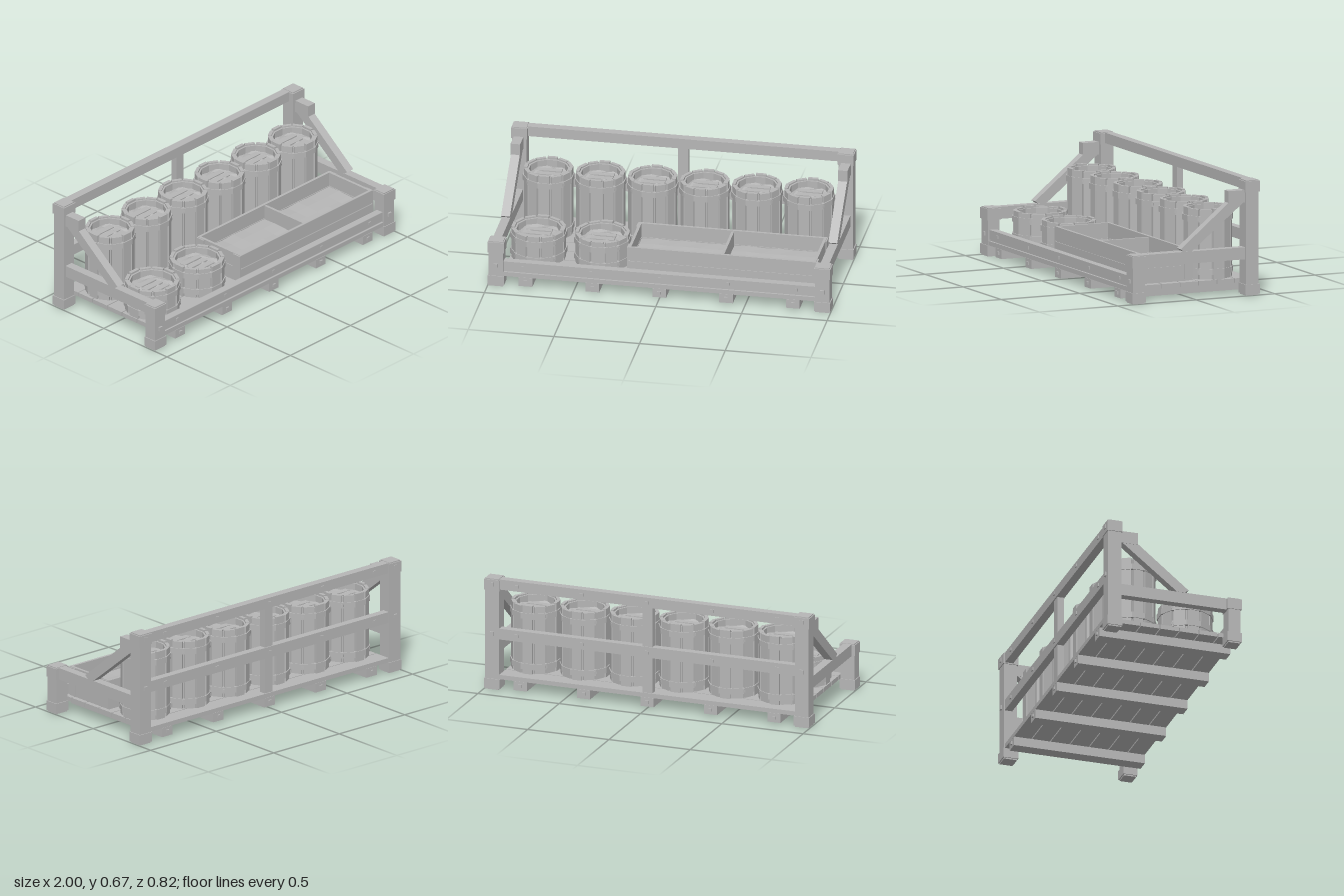
import * as THREE from 'three';

const wood = new THREE.MeshStandardMaterial({ color: 0xb6b6b6, flatShading: true });
wood.name = 'grey wood';

function add(parent, name, geo, x = 0, y = 0, z = 0) {
  const m = new THREE.Mesh(geo, wood);
  m.name = name;
  m.position.set(x, y, z);
  parent.add(m);
  return m;
}

// Box given by its limits on each axis
function box(parent, name, x0, x1, y0, y1, z0, z1) {
  return add(parent, name, new THREE.BoxGeometry(x1 - x0, y1 - y0, z1 - z0),
    (x0 + x1) / 2, (y0 + y1) / 2, (z0 + z1) / 2);
}

const lump = (x, z) => 0.009 * Math.sin(x * 53 + z * 31) * Math.cos(z * 47 - x * 19);

function lumpy(geo) {
  geo.rotateX(-Math.PI / 2);
  const p = geo.attributes.position;
  for (let i = 0; i < p.count; i++) p.setY(i, lump(p.getX(i), p.getZ(i)));
  return geo;
}

// Hollow ring, closed profile
function ring(rIn, rOut, y0, y1, sides) {
  const pts = [[rIn, y0], [rOut, y0], [rOut, y1], [rIn, y1], [rIn, y0]];
  const g = new THREE.LatheGeometry(pts.map(p => new THREE.Vector2(...p)), sides);
  return g.rotateY(Math.PI / sides);
}

function barrel(parent, name, x, z, r, h, bandYs) {
  const b = new THREE.Group();
  b.name = name;
  b.position.set(x, 0.09, z);
  parent.add(b);
  const n = 12;
  add(b, 'barrelWall', ring(r - 0.036, r - 0.018, 0, h - 0.012, n));
  for (let i = 0; i < n; i++) {
    const a = (i / n) * Math.PI * 2;
    const stave = add(b, 'stave', new THREE.BoxGeometry(r * 0.4, h - (i % 3 ? 0.008 : 0), 0.02),
      Math.sin(a) * (r - 0.02), h / 2, Math.cos(a) * (r - 0.02));
    stave.rotation.y = a;
  }
  for (const y of bandYs) {
    add(b, 'band', ring(r - 0.02, r, y, y + 0.034, n));
    for (let i = 0; i < 4; i++) {
      const a = (i + 0.5) * Math.PI / 2;
      const rivet = add(b, 'rivet', new THREE.BoxGeometry(0.014, 0.016, 0.012),
        Math.sin(a) * (r - 0.006), y + 0.017, Math.cos(a) * (r - 0.006));
      rivet.rotation.y = a;
    }
  }
  // lumpy contents
  const fill = lumpy(new THREE.RingGeometry(0.001, r - 0.03, 14, 4));
  add(b, 'barrelContents', fill, 0, h - 0.05, 0);
  for (const s of [-1, 0, 1])
    box(b, 'contentsSlat', -0.07, 0.07, h - 0.05, h - 0.043, s * 0.05 - 0.018, s * 0.05 + 0.018);
}

// Post with slightly thicker ends
function post(parent, name, s, z0, z1, h) {
  const g = new THREE.Group();
  g.name = name;
  parent.add(g);
  const part = (n, y0, y1, d) => {
    const a = s * (0.905 + d), b = s * (1 - d);
    box(g, n, Math.min(a, b), Math.max(a, b), y0, y1, z0 + d, z1 - d);
  };
  part('postShaft', 0.06, h - 0.06, 0.005);
  part('postFoot', 0.008, 0.065, 0);
  part('postSole', 0, 0.008, 0.006);
  part('postHead', h - 0.07, h - 0.006, 0);
  part('postTop', h - 0.006, h, 0.006);
}

function buildFrame(root) {
  // floor planks
  const edges = [-0.398, -0.288, -0.176, -0.058, 0.058, 0.176, 0.292, 0.398];
  for (let i = 0; i < edges.length - 1; i++)
    box(root, 'floorPlank', -0.91, 0.91, 0.065, 0.091, edges[i] + 0.003, edges[i + 1] - 0.003);
  // joists under the floor
  for (let i = -2; i <= 2; i++) {
    box(root, 'joist', i * 0.39 - 0.04, i * 0.39 + 0.04, 0.01, 0.064, -0.395, 0.395);
    for (const z of [-0.398, 0.398])
      box(root, 'joistBolt', i * 0.39 - 0.01, i * 0.39 + 0.01, 0.03, 0.048, z - 0.005, z + 0.005);
  }
  // long rails
  box(root, 'frontRail', -0.91, 0.91, 0.1, 0.155, 0.345, 0.39);
  box(root, 'frontRailPacking', -0.91, 0.91, 0.09, 0.1, 0.352, 0.383);
  box(root, 'backTopRail', -0.91, 0.91, 0.607, 0.668, -0.395, -0.345);
  box(root, 'backMiddleRail', -0.91, 0.91, 0.305, 0.37, -0.395, -0.35);
  box(root, 'backCentrePost', -0.03, 0.03, 0.09, 0.61, -0.388, -0.348);
  for (const x of [-0.8, -0.4, 0, 0.4, 0.8])
    for (const y of [0.338, 0.638])
      box(root, 'railBolt', x - 0.012, x + 0.012, y - 0.009, y + 0.009, -0.401, -0.393);
  for (const x of [-0.8, -0.4, 0, 0.4, 0.8])
    box(root, 'frontRailBolt', x - 0.008, x + 0.008, 0.118, 0.136, 0.385, 0.395);

  // sloping brace outline in (z, y)
  const outline = [[0.02, 0.28], [0.068, 0.281], [0.09, 0.297], [-0.215, 0.545], [-0.315, 0.545]];
  for (const s of [-1, 1]) {
    post(root, s > 0 ? 'frontLeftPost' : 'frontRightPost', s, 0.32, 0.405, 0.282);
    post(root, s > 0 ? 'backLeftPost' : 'backRightPost', s, -0.405, -0.315, 0.67);
    box(root, 'sideRail', s * 0.955 - 0.025, s * 0.955 + 0.025, 0.21, 0.28, -0.32, 0.325);
    const shape = new THREE.Shape(outline.map(p => new THREE.Vector2(-p[0], p[1])));
    const geo = new THREE.ExtrudeGeometry(shape, { depth: 0.052, bevelEnabled: false });
    geo.translate(0, 0, -0.026).rotateY(Math.PI / 2);
    add(root, 'sideBrace', geo, s * 0.955, 0, 0);
    box(root, 'braceBlock', s * 0.955 - 0.028, s * 0.955 + 0.028, 0.54, 0.613, -0.318, -0.215);
    // post bolts
    for (const y of [0.338, 0.638])
      box(root, 'postBolt', s * 0.953 - 0.012, s * 0.953 + 0.012, y - 0.012, y + 0.012, -0.409, -0.4);
    box(root, 'postBolt', s * 0.953 - 0.012, s * 0.953 + 0.012, 0.118, 0.142, 0.398, 0.409);
  }
}

function buildCrate(root) {
  const g = new THREE.Group();
  g.name = 'crate';
  root.add(g);
  const x0 = -0.195, x1 = 0.9, z0 = -0.025, z1 = 0.318, t = 0.016;
  box(g, 'crateFloor', x0 + t, x1 - t, 0.095, 0.11, z0 + t, z1 - t);
  // long walls, two boards with a narrow gap
  for (const z of [z0, z1 - t]) {
    box(g, 'crateLowerBoard', x0, x1, 0.1, 0.187, z, z + t);
    box(g, 'crateUpperBoard', x0, x1, 0.193, 0.275, z, z + t);
    box(g, 'crateLiner', x0 + 0.01, x1 - 0.01, 0.1, 0.21, z + 0.004, z + t - 0.004);
  }
  // end walls with corner battens
  for (const [x, s] of [[x0, -1], [x1 - t, 1]]) {
    box(g, 'crateEndLower', x, x + t, 0.1, 0.187, z0 + t, z1 - t);
    box(g, 'crateEndUpper', x, x + t, 0.193, 0.275, z0 + t, z1 - t);
    box(g, 'crateEndLiner', x + 0.004, x + t - 0.004, 0.1, 0.21, z0 + t, z1 - t);
    const bx = s > 0 ? x1 : x0 - 0.008;
    for (const z of [z0, z1 - 0.055])
      box(g, 'crateBatten', bx, bx + 0.008, 0.108, 0.272, z, z + 0.055);
  }
  box(g, 'crateDivider', 0.345, 0.361, 0.1, 0.27, z0 + t, z1 - t);
  // lumpy contents, one patch in each half
  for (const [a, b] of [[x0 + t, 0.345], [0.361, x1 - t]]) {
    const geo = lumpy(new THREE.PlaneGeometry(b - a, z1 - z0 - 2 * t, 6, 4));
    add(g, 'crateContents', geo, (a + b) / 2, 0.18, (z0 + z1) / 2);
  }
}

export function createModel() {
  const root = new THREE.Group();
  root.name = 'displayRack';
  buildFrame(root);
  buildCrate(root);
  for (let i = 0; i < 6; i++)
    barrel(root, 'tallBarrel', -0.755 + i * 0.304, -0.185, 0.149, 0.413, [0.03, 0.335]);
  for (const x of [-0.75, -0.377])
    barrel(root, 'shortBarrel', x, 0.145, 0.164, 0.19, [0.025, 0.125]);
  return root;
}
